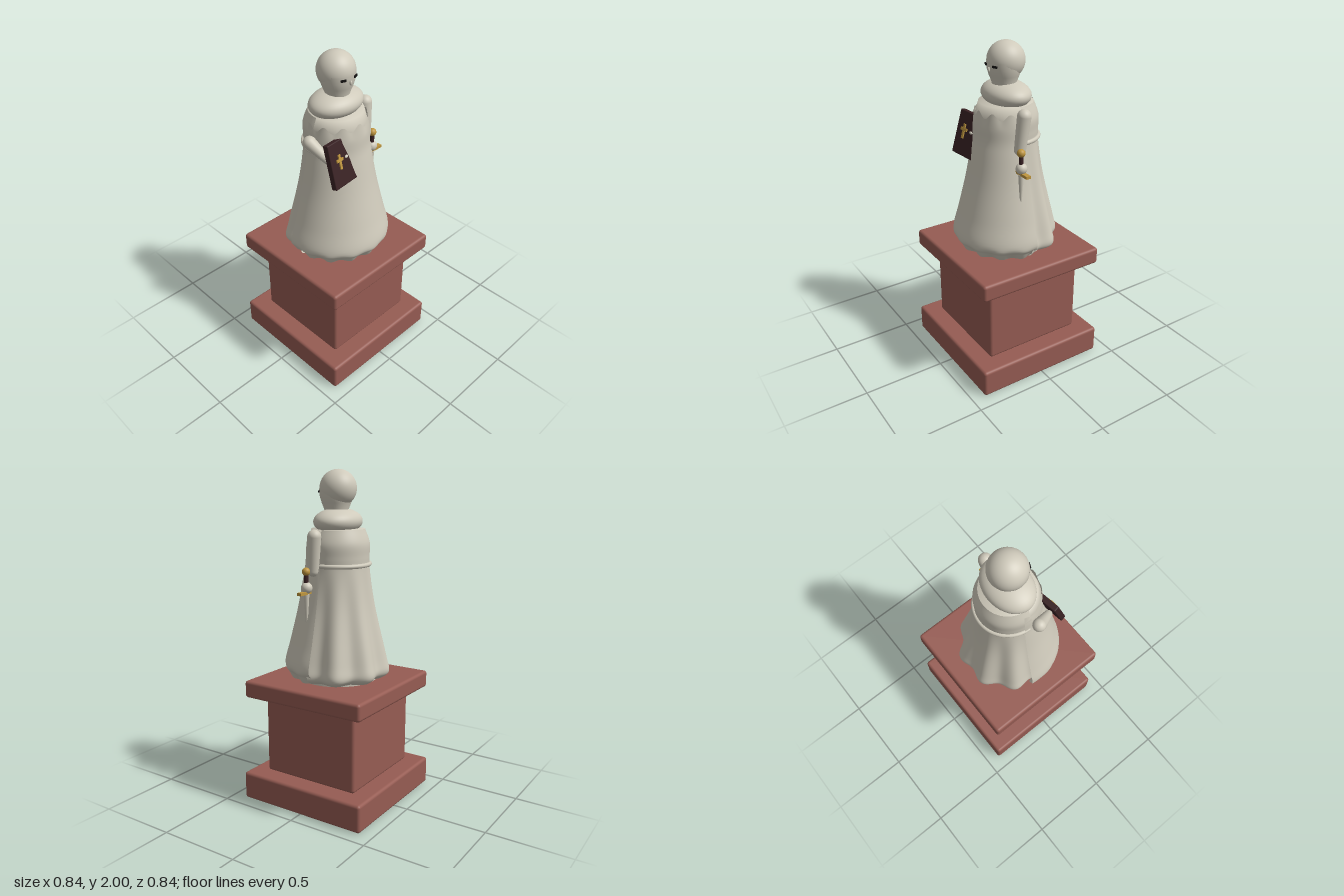
import * as THREE from 'three';
import { RoundedBoxGeometry } from 'three/addons/geometries/RoundedBoxGeometry.js';

const V = (x, y, z) => new THREE.Vector3(x, y, z);

export function createModel() {
  const model = new THREE.Group();
  const mat = (name, color, side = THREE.FrontSide) => {
    const m = new THREE.MeshStandardMaterial({ color, side });
    m.name = name;
    return m;
  };
  const stone = mat('pale stone', 0xcfcabb, THREE.DoubleSide);
  const brick = mat('red plinth', 0x965c53);
  const leather = mat('dark leather', 0x3a2224);
  const gold = mat('gold', 0xbf963f);
  const black = mat('eye black', 0x141212);

  const add = (name, geo, material, pos = [0, 0, 0], parent = model) => {
    const mesh = new THREE.Mesh(geo, material);
    mesh.name = name;
    mesh.position.set(...pos);
    parent.add(mesh);
    return mesh;
  };
  const ball = (name, r, material, pos, scale = [1, 1, 1]) => {
    const mesh = add(name, new THREE.SphereGeometry(r, 40, 24), material, pos);
    mesh.scale.set(...scale);
    return mesh;
  };

  // Curved cloth: profile of [radius, y] from bottom to top, swept between two angles
  const cloth = (profile, a0, a1, shape, nu = 144, nv = 48) => {
    const curve = new THREE.SplineCurve(profile.map(([r, y]) => new THREE.Vector2(r, y)));
    const geo = new THREE.PlaneGeometry(1, 1, nu, nv);
    const p = geo.attributes.position;
    const uv = geo.attributes.uv;
    for (let i = 0; i < p.count; i++) {
      const a = a0 + (a1 - a0) * uv.getX(i);
      const pt = curve.getPoint(uv.getY(i));
      const [r, y] = shape(a, pt.x, pt.y);
      p.setXYZ(i, r * Math.sin(a), y, r * Math.cos(a));
    }
    geo.computeVertexNormals();
    return geo;
  };

  // Limb with round ends and a taper
  const limb = (name, from, to, r0, r1) => {
    const len = from.distanceTo(to);
    const pts = [];
    for (let i = 0; i <= 8; i++) {
      const t = (i / 8 - 1) * Math.PI / 2;
      pts.push(new THREE.Vector2(r0 * Math.cos(t), r0 * Math.sin(t)));
    }
    for (let i = 0; i <= 8; i++) {
      const t = i / 8 * Math.PI / 2;
      pts.push(new THREE.Vector2(r1 * Math.cos(t), len + r1 * Math.sin(t)));
    }
    const mesh = add(name, new THREE.LatheGeometry(pts, 28), stone, from.toArray());
    mesh.quaternion.setFromUnitVectors(V(0, 1, 0), to.clone().sub(from).normalize());
  };

  // Plinth: base, block and cap
  [['plinthBase', 0.84, 0, 0.17], ['plinthBlock', 0.63, 0.173, 0.652], ['plinthCap', 0.815, 0.655, 0.76]]
    .forEach(([name, w, y0, y1]) =>
      add(name, new RoundedBoxGeometry(w, y1 - y0, w, 4, 0.018), brick, [0, (y0 + y1) / 2, 0]));

  // Foot disc and inner torso
  add('foot', new THREE.CylinderGeometry(0.24, 0.24, 0.03, 48), stone, [0, 0.772, 0]);
  add('torso', new THREE.LatheGeometry([[0, 1.4], [0.178, 1.4], [0.18, 1.58], [0.158, 1.66], [0, 1.665]]
    .map(([r, y]) => new THREE.Vector2(r, y)), 64), stone);

  // Front of the robe, with a rippled hem and a scalloped neckline
  add('robeFront', cloth(
    [[0.272, 0.772], [0.298, 0.81], [0.323, 0.86], [0.288, 1.0], [0.24, 1.2], [0.207, 1.38], [0.194, 1.46], [0.19, 1.54], [0.18, 1.61]],
    -Math.PI / 2 - 0.18, Math.PI / 2 + 0.03,
    (a, r, y) => {
      const hem = THREE.MathUtils.clamp((0.855 - y) / 0.08, 0, 1);
      const neck = THREE.MathUtils.clamp((y - 1.54) / 0.07, 0, 1);
      return [r + 0.012 * hem * Math.cos(14 * a), y + neck * 0.018 * Math.cos(11 * a)];
    }), stone);

  // Cloak behind, in deep folds that soften towards the shoulders
  add('cloak', cloth(
    [[0.255, 0.77], [0.298, 0.81], [0.28, 0.91], [0.218, 1.2], [0.188, 1.42], [0.186, 1.5], [0.186, 1.58], [0.158, 1.66]],
    Math.PI / 2 - 0.05, Math.PI * 1.5 + 0.05,
    (a, r, y) => {
      const depth = THREE.MathUtils.clamp((1.45 - y) / 0.6, 0, 1);
      return [r - 0.018 * depth * Math.cos(9 * (a - Math.PI)), y];
    }), stone);

  // Belt round the back
  const belt = add('belt', new THREE.TorusGeometry(0.187, 0.013, 12, 64, Math.PI), stone, [0, 1.455, 0]);
  belt.rotation.x = -Math.PI / 2;

  // Collar, neck with jaw, and head
  ball('collar', 1, stone, [0, 1.702, 0], [0.175, 0.078, 0.13]);
  const jaw = add('jaw', new THREE.LatheGeometry([[0.07, 1.73], [0.074, 1.77], [0.09, 1.81], [0.102, 1.85], [0.104, 1.89]]
    .map(([r, y]) => new THREE.Vector2(r, y)), 48), stone, [0, 0, 0.012]);
  jaw.scale.z = 0.95;
  ball('head', 0.109, stone, [0, 1.891, 0]);

  // Face
  for (const s of [-1, 1]) {
    const eye = add('eye', new THREE.BoxGeometry(0.03, 0.012, 0.009), black, [s * 0.045, 1.872, 0.102]);
    eye.rotation.y = s * 0.4;
  }
  ball('nose', 0.009, stone, [0, 1.85, 0.112], [0.8, 1.6, 0.8]);

  // Left arm and hand
  limb('leftArm', V(0.202, 1.43, 0.038), V(0.214, 1.626, 0.02), 0.034, 0.04);
  ball('leftHand', 0.033, stone, [0.243, 1.335, 0.055]);

  // Dagger, point down
  ball('pommel', 0.024, gold, [0.243, 1.428, 0.058]);
  add('grip', new THREE.CylinderGeometry(0.013, 0.013, 0.09, 20), leather, [0.243, 1.37, 0.058]);
  add('guard', new THREE.BoxGeometry(0.118, 0.017, 0.028), gold, [0.257, 1.306, 0.056]);
  add('blade', new THREE.CylinderGeometry(0.017, 0.004, 0.2, 16), stone, [0.243, 1.2, 0.057]);

  // Right arm, bent behind the book
  limb('rightArm', V(-0.23, 1.545, 0.03), V(-0.19, 1.46, 0.13), 0.038, 0.024);

  // Book with a cross on its cover, held tilted back
  const book = new THREE.Group();
  book.name = 'book';
  book.position.set(-0.133, 1.443, 0.172);
  book.rotation.set(-0.28, 0.14, 0);
  model.add(book);
  add('cover', new RoundedBoxGeometry(0.193, 0.262, 0.036, 3, 0.006), leather, [0, 0, 0], book);
  add('crossUpright', new THREE.BoxGeometry(0.016, 0.085, 0.009), gold, [-0.027, 0.013, 0.021], book);
  add('crossBar', new THREE.BoxGeometry(0.054, 0.016, 0.009), gold, [-0.027, 0.024, 0.021], book);
  const thumb = add('thumb', new THREE.SphereGeometry(0.011, 16, 12), stone, [0.035, 0.02, 0.018], book);
  thumb.scale.set(1.2, 0.8, 0.6);

  return model;
}
